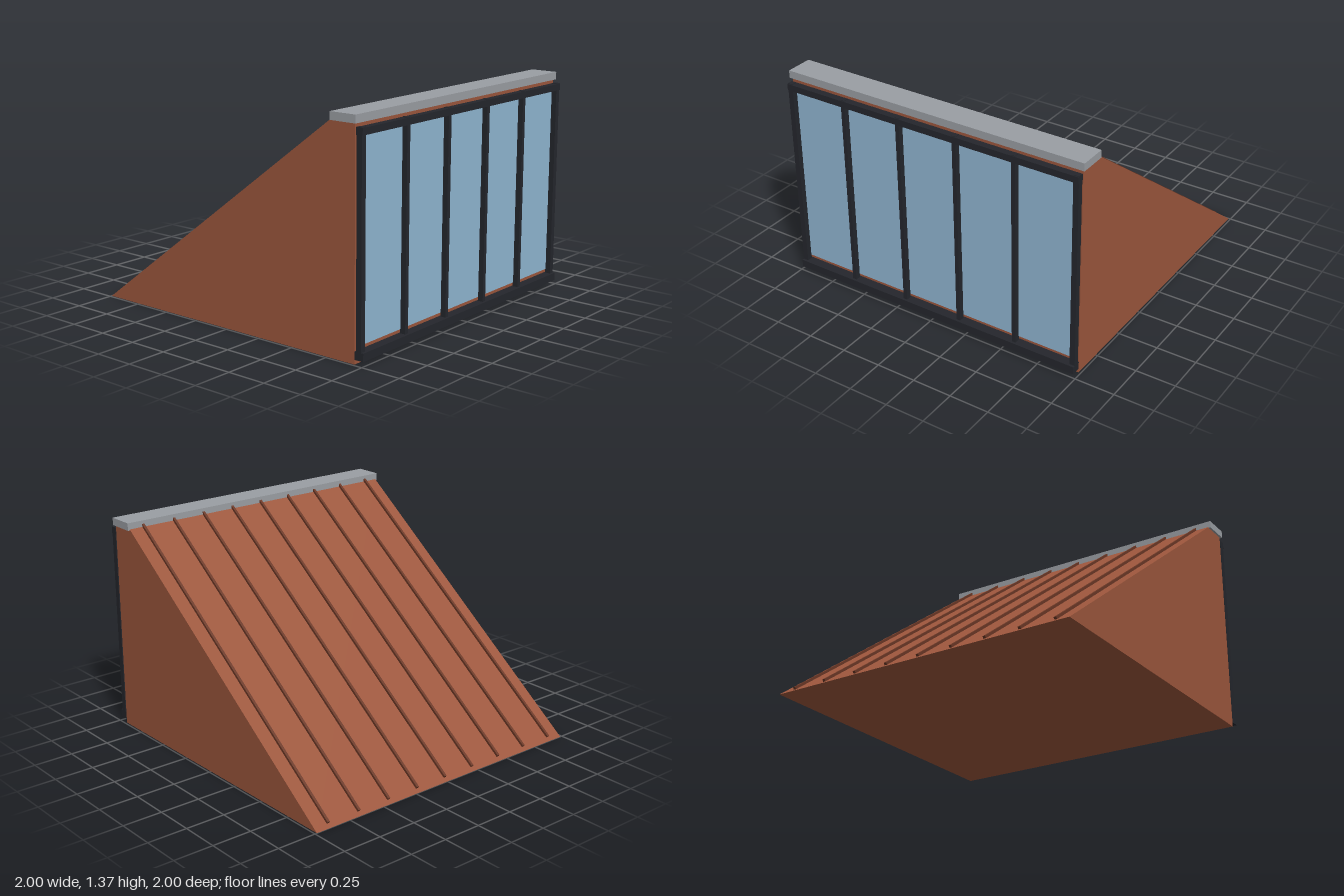
import * as THREE from 'three';

const mat = (color) => new THREE.MeshStandardMaterial({ color });

export function createModel() {
  const model = new THREE.Group();
  const brown = mat(0x9c563c), seamBrown = mat(0x6b3826), dark = mat(0x24262c);
  const grey = mat(0x9a9ea3), blue = mat(0x90b6d2);

  const addBox = (name, material, [x0, x1], [y0, y1], [z0, z1]) => {
    const mesh = new THREE.Mesh(new THREE.BoxGeometry(x1 - x0, y1 - y0, z1 - z0), material);
    mesh.position.set((x0 + x1) / 2, (y0 + y1) / 2, (z0 + z1) / 2);
    mesh.name = name;
    model.add(mesh);
    return mesh;
  };

  // Wedge-shaped building body, extruded along z
  const halfDepth = 0.987;
  const profile = new THREE.Shape([[-1, 0], [0.94, 0], [0.94, 1.325], [0.78, 1.325]]
    .map(([x, y]) => new THREE.Vector2(x, y)));
  const bodyGeo = new THREE.ExtrudeGeometry(profile, { depth: 2 * halfDepth, bevelEnabled: false });
  bodyGeo.translate(0, 0, -halfDepth);
  const body = new THREE.Mesh(bodyGeo, brown);
  body.name = 'wedgeBody';
  model.add(body);

  // Standing seams running up the sloping roof
  const slope = Math.atan2(1.325, 1.78);
  const start = 0.03, end = 2.23, seamHeight = 0.024;
  const seamGeo = new THREE.BoxGeometry(end - start, seamHeight, 0.016);
  seamGeo.translate((start + end) / 2, 0.003, 0);
  const seams = new THREE.Group();
  seams.name = 'roofSeams';
  for (let i = -4; i <= 4; i++) {
    const seam = new THREE.Mesh(seamGeo, seamBrown);
    seam.name = 'roofSeam';
    seam.position.set(-1, 0, i * 0.2225);
    seam.rotation.z = slope;
    seams.add(seam);
  }
  model.add(seams);

  // Ridge cap
  addBox('ridgeCap', grey, [0.78, 0.952], [1.318, 1.365], [-1, 1]);

  // Glazed wall with its rails
  addBox('glass', blue, [0.936, 0.952], [0.1, 1.28], [-0.965, 0.965]);
  addBox('bottomRail', dark, [0.94, 1], [0.027, 0.075], [-0.987, 0.987]);
  addBox('topRail', dark, [0.946, 0.99], [1.257, 1.297], [-0.987, 0.987]);

  // Mullions: narrow inside, wider at both ends
  for (let i = 0; i < 6; i++) {
    const isEnd = i === 0 || i === 5;
    const z = isEnd ? Math.sign(i - 2.5) * 0.97 : (i - 2.5) * 0.387;
    const half = isEnd ? 0.017 : 0.013;
    addBox('mullion', dark, [0.95, 0.985], [0.03, 1.3], [z - half, z + half]);
  }
  return model;
}
